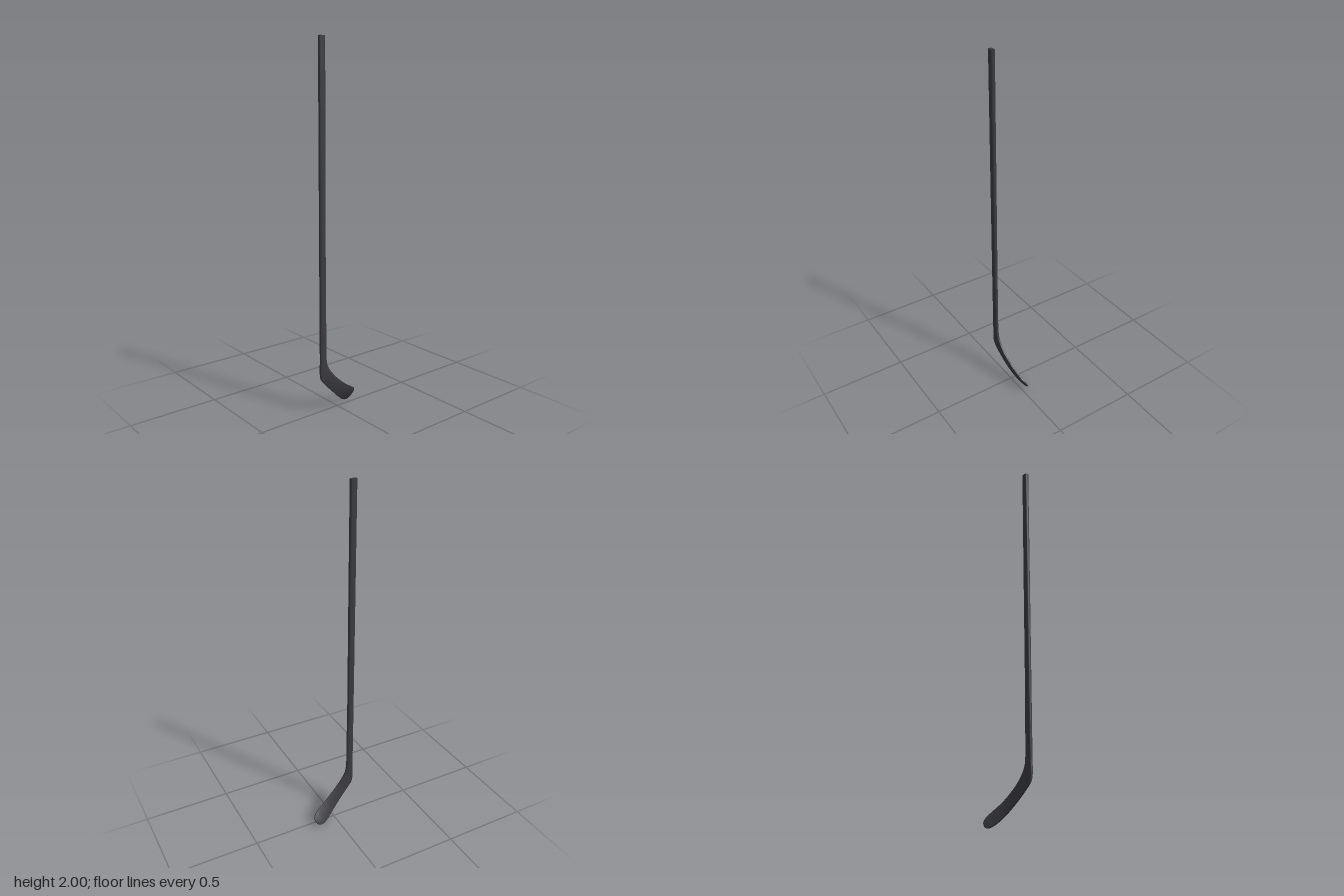
import * as THREE from 'three';
import { toCreasedNormals } from 'three/addons/utils/BufferGeometryUtils.js';

// Cross-sections from butt end to toe: upper edge xyz, lower edge xyz, thickness
const SECTIONS = [
  [-0.104, 2, 0.028, -0.14, 2, 0.028, 0.022],
  [-0.104, 1.3, 0.028, -0.14, 1.3, 0.028, 0.021],
  [-0.104, 0.62, 0.028, -0.14, 0.62, 0.028, 0.019],
  [-0.102, 0.5, 0.028, -0.14, 0.5, 0.028, 0.018],
  [-0.101, 0.33, 0.028, -0.14, 0.3, 0.028, 0.016],
  [-0.094, 0.28, 0.028, -0.14, 0.225, 0.027, 0.014],
  [-0.075, 0.243, 0.028, -0.132, 0.195, 0.025, 0.012],
  [-0.04, 0.2, 0.027, -0.09, 0.147, 0.019, 0.010],
  [0, 0.162, 0.022, -0.04, 0.097, 0.009, 0.009],
  [0.045, 0.125, 0.015, 0.01, 0.05, -0.006, 0.008],
  [0.085, 0.098, 0.006, 0.05, 0.018, -0.022, 0.008],
  [0.113, 0.079, -0.001, 0.08, 0.003, -0.033, 0.008],
  [0.129, 0.066, -0.009, 0.103, 0.001, -0.037, 0.007],
  [0.137, 0.05, -0.019, 0.122, 0.011, -0.036, 0.006],
  [0.139, 0.038, -0.026, 0.134, 0.026, -0.032, 0.005],
];
const LAST = SECTIONS.length - 1;
const edgeCurve = (k) =>
  new THREE.CatmullRomCurve3(SECTIONS.map((s) => new THREE.Vector3(s[k], s[k + 1], s[k + 2])));
const upper = edgeCurve(0);
const lower = edgeCurve(3);
const CORNER_STEPS = 3;

// Rounded rectangle spanning the two edges at section position s
function ring(s) {
  const t = s / LAST;
  const top = upper.getPoint(t), bottom = lower.getPoint(t);
  const center = top.clone().add(bottom).multiplyScalar(0.5);
  const across = top.clone().sub(bottom);
  const halfWidth = across.length() / 2;
  across.normalize();
  const along = upper.getTangent(t).add(lower.getTangent(t));
  const normal = along.cross(across).normalize();
  const i = Math.min(Math.floor(s), LAST - 1);
  const halfThick = THREE.MathUtils.lerp(SECTIONS[i][6], SECTIONS[i + 1][6], s - i) / 2;
  const r = Math.min(halfThick * 0.7, halfWidth * 0.7);
  const points = [];
  for (let q = 0; q < 4; q++) {
    const sx = q === 0 || q === 3 ? 1 : -1, sz = q < 2 ? 1 : -1;
    for (let k = 0; k <= CORNER_STEPS; k++) {
      const a = (q + k / CORNER_STEPS) * Math.PI / 2;
      points.push(center.clone()
        .addScaledVector(across, sx * (halfWidth - r) + r * Math.cos(a))
        .addScaledVector(normal, sz * (halfThick - r) + r * Math.sin(a)));
    }
  }
  return { center, points };
}

// Skin the rings between two section positions, capping the outer ends
function loft(from, to, steps, capStart, capEnd) {
  const positions = [];
  const tri = (...pts) => pts.forEach((p) => positions.push(p.x, p.y, p.z));
  const rings = [];
  for (let i = 0; i <= steps; i++) rings.push(ring(from + (to - from) * i / steps));
  const n = rings[0].points.length;
  for (let j = 0; j < n; j++) {
    const k = (j + 1) % n;
    for (let i = 0; i < steps; i++) {
      const a = rings[i].points, b = rings[i + 1].points;
      tri(a[j], a[k], b[j]);
      tri(a[k], b[k], b[j]);
    }
    const first = rings[0], end = rings[steps];
    if (capStart) tri(first.center, first.points[k], first.points[j]);
    if (capEnd) tri(end.center, end.points[j], end.points[k]);
  }
  const geometry = new THREE.BufferGeometry();
  geometry.setAttribute('position', new THREE.Float32BufferAttribute(positions, 3));
  return toCreasedNormals(geometry, 0.7);
}

export function createModel() {
  const group = new THREE.Group();
  group.name = 'hockeyStick';
  const material = new THREE.MeshStandardMaterial({ color: 0x3a3a40 });

  // Long straight shaft with rounded corners
  const shaft = new THREE.Mesh(loft(0, 4, 16, true, false), material);
  shaft.name = 'shaft';

  // Heel flowing into the curved, open-faced blade with a rounded toe
  const blade = new THREE.Mesh(loft(4, LAST, 60, false, true), material);
  blade.name = 'blade';

  group.add(shaft, blade);
  return group;
}
